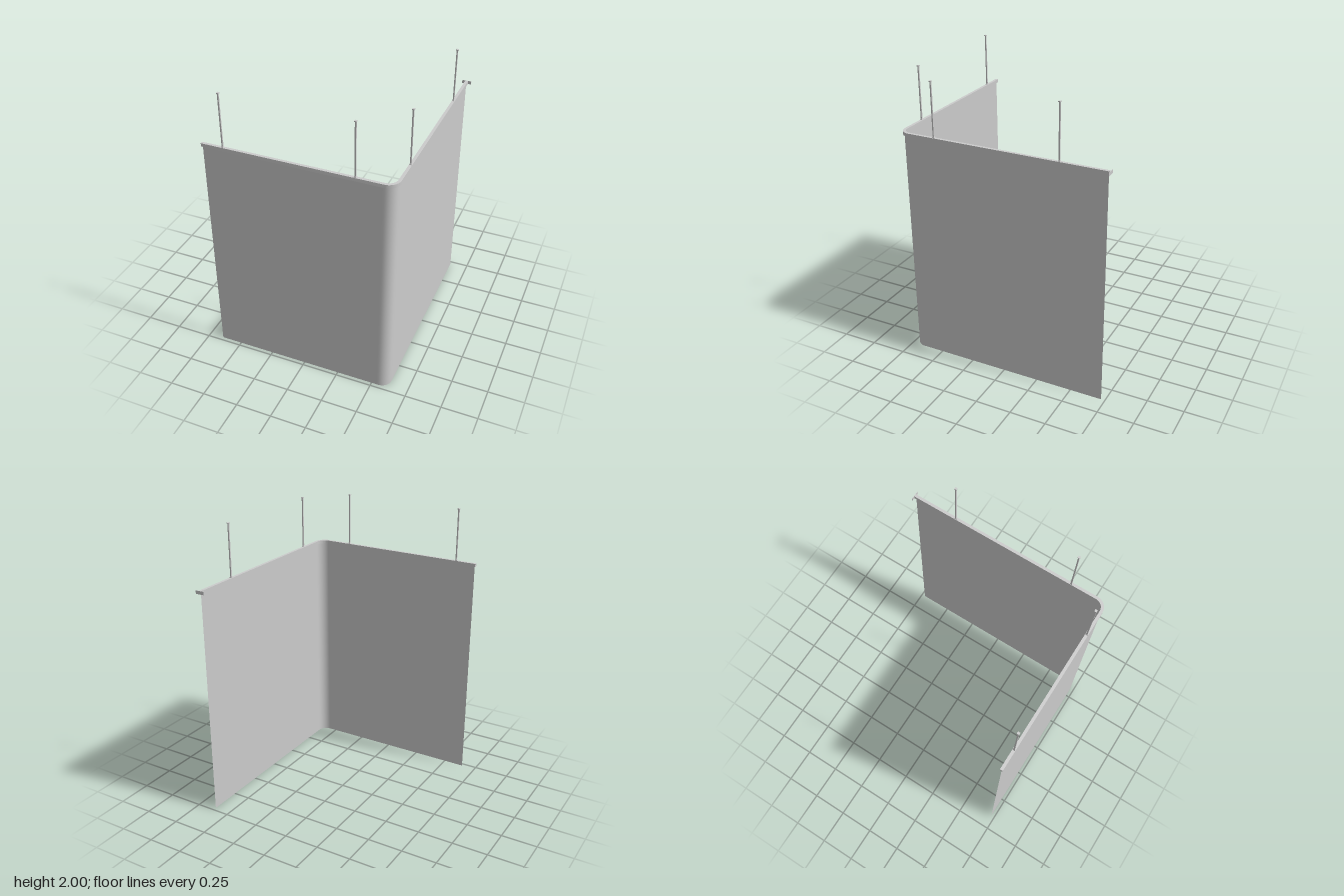
import * as THREE from 'three';
import { toCreasedNormals } from 'three/addons/utils/BufferGeometryUtils.js';

// Plan of the track: one straight run, a rounded corner, a second straight run
const X0 = -0.654, X1 = 0.62, Z0 = -0.735, Z1 = 0.724, R = 0.07;
const RAIL_BOTTOM = 1.604, RAIL_TOP = 1.627;

function planPoints(offset, xStart = X0, zEnd = Z0) {
  const pts = [new THREE.Vector2(xStart, Z1 + offset)];
  const n = 14;
  for (let i = 0; i <= n; i++) {
    const a = (Math.PI / 2) * (1 - i / n);
    pts.push(new THREE.Vector2(
      X1 - R + (R + offset) * Math.cos(a),
      Z1 - R + (R + offset) * Math.sin(a)));
  }
  pts.push(new THREE.Vector2(X1 + offset, zEnd));
  return pts;
}

export function createModel() {
  const model = new THREE.Group();
  const material = new THREE.MeshStandardMaterial({ color: 0xcccccc });
  const clothMaterial = new THREE.MeshStandardMaterial({ color: 0xcccccc, side: THREE.DoubleSide });

  function add(name, geometry, parent = model, mat = material) {
    const mesh = new THREE.Mesh(geometry, mat);
    mesh.name = name;
    parent.add(mesh);
    return mesh;
  }

  // Upright strip that follows the plan between two offsets
  function band(inner, outer, y0, y1) {
    const shape = new THREE.Shape([...planPoints(inner), ...planPoints(outer).reverse()]);
    const g = new THREE.ExtrudeGeometry(shape, { depth: y1 - y0, bevelEnabled: false });
    g.rotateX(Math.PI / 2).translate(0, y1, 0);
    return toCreasedNormals(g, 0.5);
  }

  // Rail: a channel open at the bottom
  const rail = new THREE.Group();
  rail.name = 'rail';
  model.add(rail);
  add('railTop', band(-0.01, 0.01, RAIL_TOP - 0.004, RAIL_TOP), rail);
  add('railInnerSide', band(-0.01, -0.006, RAIL_BOTTOM, RAIL_TOP - 0.004), rail);
  add('railOuterSide', band(0.006, 0.01, RAIL_BOTTOM, RAIL_TOP - 0.004), rail);

  // End pieces: a wall plate at the back and a narrow cap at the free end
  const h = RAIL_TOP - RAIL_BOTTOM, yMid = (RAIL_TOP + RAIL_BOTTOM) / 2;
  add('wallPlate', new THREE.BoxGeometry(0.064, h, 0.003).translate(X1, yMid, Z0 + 0.0015));
  add('railEndCap', new THREE.BoxGeometry(0.003, h, 0.02).translate(X0 + 0.0015, yMid, Z1));

  // Curtain: a single sheet bent along the plan
  const plan = planPoints(0, -0.647, -0.723);
  const path = new THREE.CurvePath();
  for (let i = 1; i < plan.length; i++) path.add(new THREE.LineCurve(plan[i - 1], plan[i]));
  const columns = 240;
  const spaced = path.getSpacedPoints(columns);
  const cloth = new THREE.PlaneGeometry(1, 1, columns, 1);
  const pos = cloth.attributes.position;
  for (let i = 0; i < pos.count; i++) {
    const p = spaced[i % (columns + 1)];
    pos.setXYZ(i, p.x, pos.getY(i) > 0 ? RAIL_BOTTOM + 0.008 : 0, p.y);
  }
  cloth.computeVertexNormals();
  add('curtain', cloth, model, clothMaterial);

  // Hanger rods with a flared foot and a ceiling cap
  for (const [x, z] of [[-0.505, Z1], [0.37, Z1], [X1, 0.468], [X1, -0.408]]) {
    const hanger = new THREE.Group();
    hanger.name = 'hanger';
    hanger.position.set(x, 0, z);
    model.add(hanger);
    add('rod', new THREE.BoxGeometry(0.009, 2 - RAIL_TOP, 0.009).translate(0, (2 + RAIL_TOP) / 2, 0), hanger);
    add('ceilingCap', new THREE.BoxGeometry(0.016, 0.006, 0.016).translate(0, 1.997, 0), hanger);
    const foot = new THREE.CylinderGeometry(0.0064, 0.0113, 0.012, 4).toNonIndexed();
    foot.computeVertexNormals();
    add('foot', foot.rotateY(Math.PI / 4).translate(0, RAIL_TOP + 0.006, 0), hanger);
  }
  return model;
}
